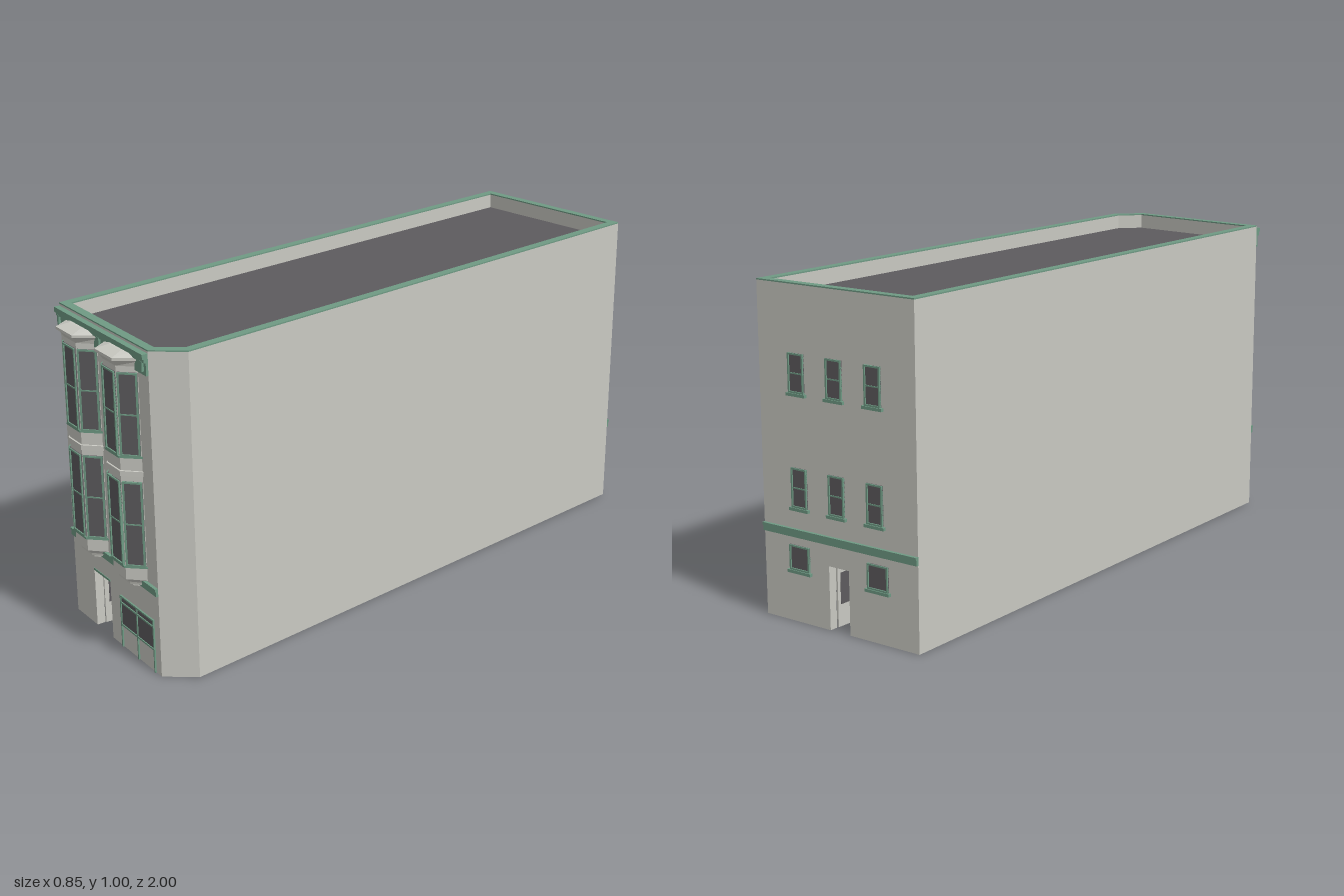
import * as THREE from 'three';

const mat = (name, color) => Object.assign(new THREE.MeshStandardMaterial({ color }), { name });

export function createModel() {
  const model = new THREE.Group();
  model.name = 'rowBuilding';
  const stone = mat('pale stone', 0xc9c9c2);
  const green = mat('green trim', 0x6f9a84);
  const dark = mat('dark glass and roofing', 0x5d5b5e);

  const T = 0.027;            // wall thickness
  const DOOR_H = 0.193;
  const V = (x, z) => new THREE.Vector2(x, -z);
  // footprint corners, counter-clockwise in plan
  const foot = [V(-0.158, 0.938), V(0.358, 0.938), V(0.425, 0.85), V(0.152, -0.99), V(-0.425, -0.912)];

  const add = (parent, name, geo, material) => {
    const m = new THREE.Mesh(geo, material);
    m.name = name;
    parent.add(m);
    return m;
  };
  // box given by its centre x, bottom, back face, and size
  const box = (parent, name, material, x, y, z, w, h, d) =>
    add(parent, name, new THREE.BoxGeometry(w, h, d).translate(x, y + h / 2, z + d / 2), material);
  const group = (name, parent = model) => {
    const g = new THREE.Group();
    g.name = name;
    parent.add(g);
    return g;
  };

  const normalIn = (a, b) => {
    const d = b.clone().sub(a).normalize();
    return new THREE.Vector2(-d.y, d.x);
  };
  const inset = (pts, t) => pts.map((p, i) => {
    const n1 = normalIn(pts[(i + pts.length - 1) % pts.length], p);
    const n2 = normalIn(p, pts[(i + 1) % pts.length]);
    return p.clone().addScaledVector(n1.clone().add(n2), t / (1 + n1.dot(n2)));
  });
  const inner = inset(foot, T);

  // plan outline raised from y0 to y1
  const slab = (name, material, pts, y0, y1, hole) => {
    const s = new THREE.Shape(pts);
    if (hole) s.holes.push(new THREE.Path(hole));
    const geo = new THREE.ExtrudeGeometry(s, { depth: y1 - y0, bevelEnabled: false });
    return add(model, name, geo.rotateX(-Math.PI / 2).translate(0, y0, 0), material);
  };

  // Walls: full ring above the doors, two pieces beside the door openings
  const [P0, P1, P2, P3, P4] = foot, [I0, I1, I2, I3, I4] = inner;
  const nBack = normalIn(P3, P4);
  const back = (f, t = 0) => P3.clone().lerp(P4, f).addScaledVector(nBack, t);
  const fL = -0.032, fR = 0.068, bL = 0.43, bR = 0.56;
  slab('upperWalls', stone, foot, DOOR_H, 0.996, inner);
  slab('lowerWallLeftSide', stone,
    [P0, V(fL, 0.938), V(fL, 0.938 - T), I0, I4, back(bR, T), back(bR), P4], 0, DOOR_H);
  slab('lowerWallRightSide', stone,
    [V(fR, 0.938), P1, P2, P3, back(bL), back(bL, T), I3, I2, I1, V(fR, 0.938 - T)], 0, DOOR_H);
  slab('parapetCap', green, foot, 0.996, 1, inner);
  slab('roof', dark, inner, 0.942, 0.95);

  // Window on a local wall plane facing +z: glass, frame and meeting rail
  const windowUnit = (parent, name, x, y, w, h, f = 0.005, rail = true) => {
    const g = group(name, parent);
    box(g, 'glass', dark, x, y, -0.002, w, h, 0.005);
    for (const s of [-1, 1]) box(g, 'frameSide', green, x + s * (w - f) / 2, y, -0.002, f, h, 0.009);
    for (const yy of [y, y + h - f]) box(g, 'frameRail', green, x, yy, -0.002, w, f, 0.009);
    if (rail) box(g, 'meetingRail', green, x, y + h / 2 - f / 2, -0.002, w, f * 0.8, 0.007);
    return g;
  };

  // Open door leaf, hinged at x, swung inward
  const openDoor = (parent, name, x, len) => {
    const g = group(name, parent);
    box(g, 'doorLeaf', stone, 0, 0.003, -len, 0.006, DOOR_H - 0.008, len);
    box(g, 'doorGlass', dark, 0, 0.07, -len * 0.85, 0.008, 0.095, len * 0.7);
    g.position.set(x, 0, -T);
    g.rotation.y = -0.03;
  };

  const belt = (parent, x, w) => {
    box(parent, 'beltCourse', green, x, 0.258, -0.002, w, 0.018, 0.009);
    box(parent, 'beltLip', green, x, 0.275, -0.002, w, 0.008, 0.012);
  };

  // Front wall
  const front = group('frontFacade');
  front.position.z = 0.938;
  const cx = 0.1, cw = 0.516;
  belt(front, cx, cw);
  box(front, 'corniceFrieze', green, cx, 0.926, -0.002, cw, 0.04, 0.009);
  box(front, 'corniceMoulding', green, cx, 0.964, -0.002, cw, 0.012, 0.015);
  box(front, 'corniceTop', green, cx, 0.975, -0.002, cw, 0.015, 0.02);
  for (const x of [-0.145, 0.098, 0.342]) box(front, 'corniceBracket', green, x, 0.937, 0, 0.009, 0.03, 0.014);
  openDoor(front, 'frontDoor', fL + 0.004, 0.095);
  box(front, 'doorHeadTrim', green, (fL + fR) / 2, DOOR_H - 0.006, -0.01, fR - fL, 0.007, 0.012);

  // Shop window with transom, sill rail and mullion
  const shop = group('shopWindow', front);
  box(shop, 'shopGlass', dark, 0.23, 0.075, -0.002, 0.196, 0.095, 0.004);
  for (const x of [0.134, 0.23, 0.326]) box(shop, 'shopPost', green, x, 0, -0.002, 0.005, 0.17, 0.007);
  for (const y of [0.072, 0.146, 0.166]) box(shop, 'shopRail', green, 0.23, y, -0.002, 0.196, 0.005, 0.007);

  // Loft of half-hexagon sections: [y, half width at wall, half width in front, depth]
  const loft = (levels) => {
    const rings = levels.map(([y, o, f, d]) =>
      [[-o, y, -0.002], [-f, y, d], [f, y, d], [o, y, -0.002]]);
    const pos = [];
    const quad = (a, b, c, d) => pos.push(...a, ...b, ...c, ...a, ...c, ...d);
    for (let i = 0; i + 1 < rings.length; i++)
      for (let j = 0; j < 3; j++) quad(rings[i][j], rings[i][j + 1], rings[i + 1][j + 1], rings[i + 1][j]);
    const lo = rings[0], hi = rings[rings.length - 1];
    quad(lo[3], lo[2], lo[1], lo[0]);
    quad(hi[0], hi[1], hi[2], hi[3]);
    const g = new THREE.BufferGeometry();
    g.setAttribute('position', new THREE.Float32BufferAttribute(pos, 3));
    g.computeVertexNormals();
    return g;
  };

  // Bay windows
  const O = 0.084, F = 0.037, D = 0.045;
  for (const x of [-0.014, 0.218]) {
    const bay = group('bayWindow', front);
    bay.position.x = x;
    add(bay, 'bayBody', loft([
      [0.255, 0.055, 0.028, 0.02], [0.264, 0.055, 0.028, 0.02],
      [0.264, 0.068, 0.032, 0.03], [0.272, 0.07, 0.033, 0.032],
      [0.285, O, F, D], [0.608, O, F, D],
      [0.609, O + 0.004, F + 0.002, D + 0.004], [0.624, O + 0.004, F + 0.002, D + 0.004],
      [0.625, O, F, D], [0.935, O, F, D],
      [0.953, 0.09, 0.044, 0.055], [0.956, 0.094, 0.049, 0.062], [0.964, 0.094, 0.049, 0.062],
      [0.974, 0.06, 0.034, 0.025]]), stone);
    for (const [y, h] of [[0.33, 0.262], [0.67, 0.248]]) {
      add(bay, 'baySill', loft([[y - 0.006, 0.089, 0.04, 0.051], [y, 0.089, 0.04, 0.051]]), green);
      const mid = group('bayFrontFace', bay);
      mid.position.z = D;
      windowUnit(mid, 'bayFrontWindow', 0, y, 0.068, h);
      for (const s of [-1, 1]) {
        const side = group('baySideFace', bay);
        side.position.set(s * (O + F) / 2, 0, D / 2);
        side.rotation.y = s * Math.atan2(D, O - F);
        windowUnit(side, 'baySideWindow', 0, y, 0.058, h);
      }
    }
  }

  // Back wall, local x running from the left-hand corner as seen from behind
  const rear = group('backFacade');
  const L = P3.distanceTo(P4);
  rear.position.set(P3.x, 0, -P3.y);
  rear.rotation.y = Math.atan2(P4.y - P3.y, P4.x - P3.x);
  belt(rear, L / 2, L);
  const rearWindow = (f, y, w, h, rail) => {
    const g = windowUnit(rear, 'backWindow', f * L, y, w, h, 0.005, rail);
    box(g, 'windowSill', green, f * L, y - 0.009, -0.002, w + 0.014, 0.009, 0.012);
  };
  for (const f of [0.25, 0.495, 0.74]) {
    rearWindow(f, 0.685, 0.058, 0.115, true);
    rearWindow(f, 0.347, 0.058, 0.118, true);
  }
  for (const f of [0.24, 0.75]) rearWindow(f, 0.158, 0.076, 0.075, false);
  openDoor(rear, 'backDoor', bL * L + 0.004, 0.074);

  return model;
}
